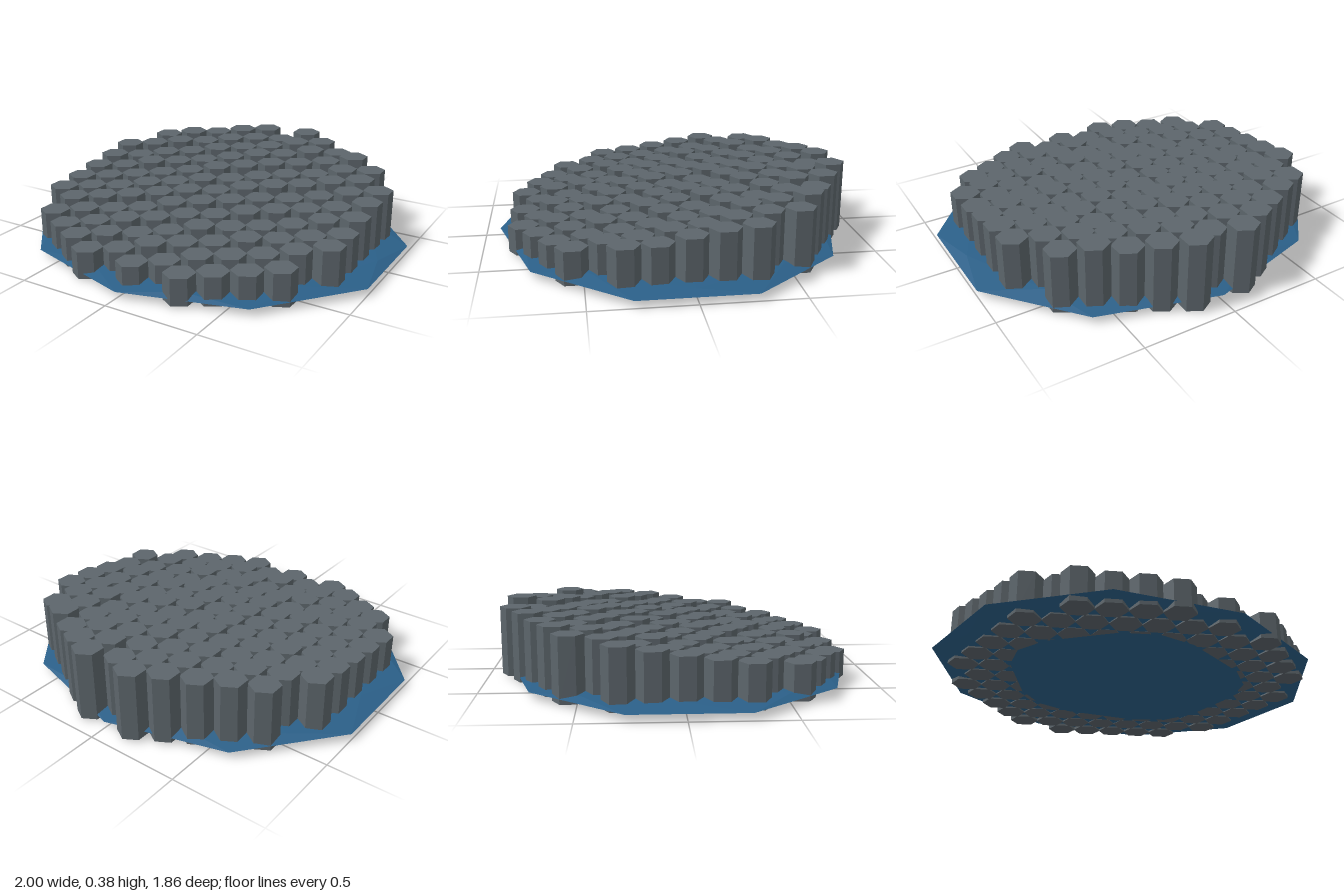
import * as THREE from 'three';

const PITCH = 0.09;      // lattice radius between neighbouring columns
const RADIUS = 0.08;     // radius of one column
const BOTTOM = 0.01;
const Z0 = 0.006;

// heights of the rearmost column in each file, from -x to +x
const BACK = [0.31, 0.333, 0.35, 0.349, 0.366, 0.37, 0.345, 0.383, 0.364, 0.34, 0.358, 0.324, 0.303];

function makeRandom(seed) {
  return () => {
    seed = (seed * 16807) % 2147483647;
    return seed / 2147483647;
  };
}

export function createModel() {
  const model = new THREE.Group();
  model.name = 'basaltColumns';
  const stone = new THREE.MeshStandardMaterial({ name: 'grey stone', color: 0x5c656b, flatShading: true });
  const water = new THREE.MeshStandardMaterial({ name: 'blue water', color: 0x2b6089, flatShading: true });

  // flattened faceted pool, turned so that one corner points straight up
  const poolShape = new THREE.IcosahedronGeometry(1, 1);
  poolShape.rotateZ(-Math.atan(2 / (1 + Math.sqrt(5))));
  poolShape.scale(1.0515, 0.037, 0.9175);
  const pool = new THREE.Mesh(poolShape, water);
  pool.name = 'waterPool';
  pool.position.set(0, 0.037, 0.007);
  model.add(pool);

  // hexagonal columns filling a disc, rising towards the back
  const columns = new THREE.Group();
  columns.name = 'stoneColumns';
  const hexagon = new THREE.CylinderGeometry(RADIUS, RADIUS, 1, 6);
  hexagon.translate(0, 0.5, 0);
  const random = makeRandom(4711);
  for (let k = -6; k <= 6; k++) {
    let first = true;
    for (let n = k % 2 ? -5.5 : -6; n <= 5; n++) {
      const x = k * PITCH * 1.5;
      const z = n * PITCH * Math.sqrt(3);
      if (Math.hypot(x, z) > 0.88) continue;
      const slope = 0.26 - 0.138 * z + (random() - 0.5) * 0.024;
      const top = first ? BACK[k + 6] : Math.min(slope, BACK[k + 6] - 0.004);
      first = false;
      const column = new THREE.Mesh(hexagon, stone);
      column.name = 'stoneColumn';
      column.position.set(x, BOTTOM, z + Z0);
      column.scale.y = top - BOTTOM;
      columns.add(column);
    }
  }
  model.add(columns);
  return model;
}
